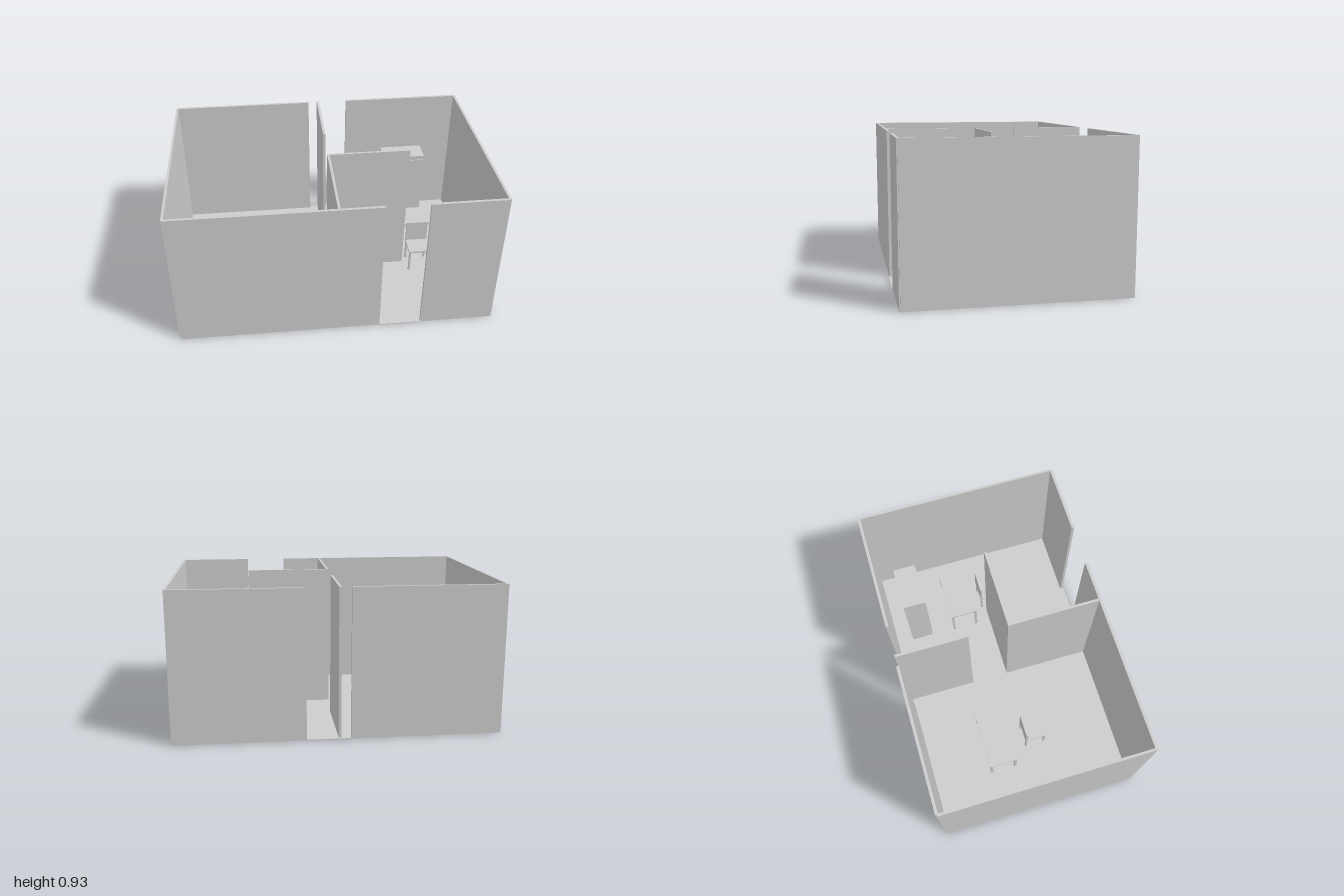
import * as THREE from 'three';

export function createModel() {
  const model = new THREE.Group();
  const grey = new THREE.MeshStandardMaterial({ name: 'plain grey', color: 0xcccccc });

  // Box given by its limits on each axis
  function block(parent, name, x0, x1, y0, y1, z0, z1) {
    const mesh = new THREE.Mesh(new THREE.BoxGeometry(x1 - x0, y1 - y0, z1 - z0), grey);
    mesh.position.set((x0 + x1) / 2, (y0 + y1) / 2, (z0 + z1) / 2);
    mesh.name = name;
    parent.add(mesh);
  }
  function group(name) {
    const g = new THREE.Group();
    g.name = name;
    model.add(g);
    return g;
  }

  const H = 0.925, F = 0.006; // wall height, floor thickness

  // Floor and door sills
  block(model, 'floor', -0.99, 0.99, 0, F, -0.665, 0.665);
  block(model, 'frontSill', 0.265, 0.53, 0, F, 0.66, 0.675);
  block(model, 'backSill', -0.068, 0.2, 0, F, -0.677, -0.66);

  // Outer walls, front and back broken by doorways
  const walls = group('outerWalls');
  for (const s of [-1, 1]) {
    const x = s * 0.9925;
    block(walls, 'sideWall', x - 0.0075, x + 0.0075, 0, H, -0.662, 0.662);
  }
  for (const [name, z, a, b] of [['frontWall', 0.66, 0.265, 0.53], ['backWall', -0.662, -0.068, 0.2]]) {
    block(walls, name, -0.99, a, 0, H, z - 0.009, z + 0.009);
    block(walls, name, b, 0.99, 0, H, z - 0.009, z + 0.009);
  }

  // Inner partitions
  const inner = group('partitions');
  block(inner, 'backPartition', -0.009, 0.007, F, H, -0.665, -0.2);
  block(inner, 'frontPartition', -0.009, 0.007, F, H, 0.055, 0.655);
  block(inner, 'crossPartition', 0.005, 0.525, F, H, 0.055, 0.07);

  // Four legs inside a rectangle
  function legs(parent, x0, x1, z0, z1, top, t) {
    for (const x of [x0, x1 - t]) for (const z of [z0, z1 - t]) {
      block(parent, 'leg', x, x + t, F, top, z, z + t);
    }
  }

  // Tables
  for (const [x, z] of [[-0.695, -0.27], [0.43, -0.232]]) {
    const table = group('table');
    block(table, 'tableTop', x, x + 0.395, 0.24, 0.252, z, z + 0.197);
    legs(table, x + 0.006, x + 0.389, z + 0.006, z + 0.191, 0.24, 0.016);
  }

  // Chairs, backrest on the table side
  for (const x of [-0.575, 0.55]) {
    const chair = group('chair');
    block(chair, 'seat', x, x + 0.148, 0.155, 0.168, 0.021, 0.169);
    block(chair, 'backrest', x, x + 0.148, 0.168, 0.315, 0.021, 0.034);
    legs(chair, x + 0.002, x + 0.146, 0.023, 0.167, 0.155, 0.013);
  }

  // Cabinet with two doors
  const cabinet = group('cabinet');
  block(cabinet, 'cabinetBody', 0.445, 0.74, F, 0.59, -0.54, -0.392);
  for (const x of [0.448, 0.594]) {
    block(cabinet, 'cabinetDoor', x, x + 0.143, 0.025, 0.56, -0.392, -0.387);
  }
  return model;
}
